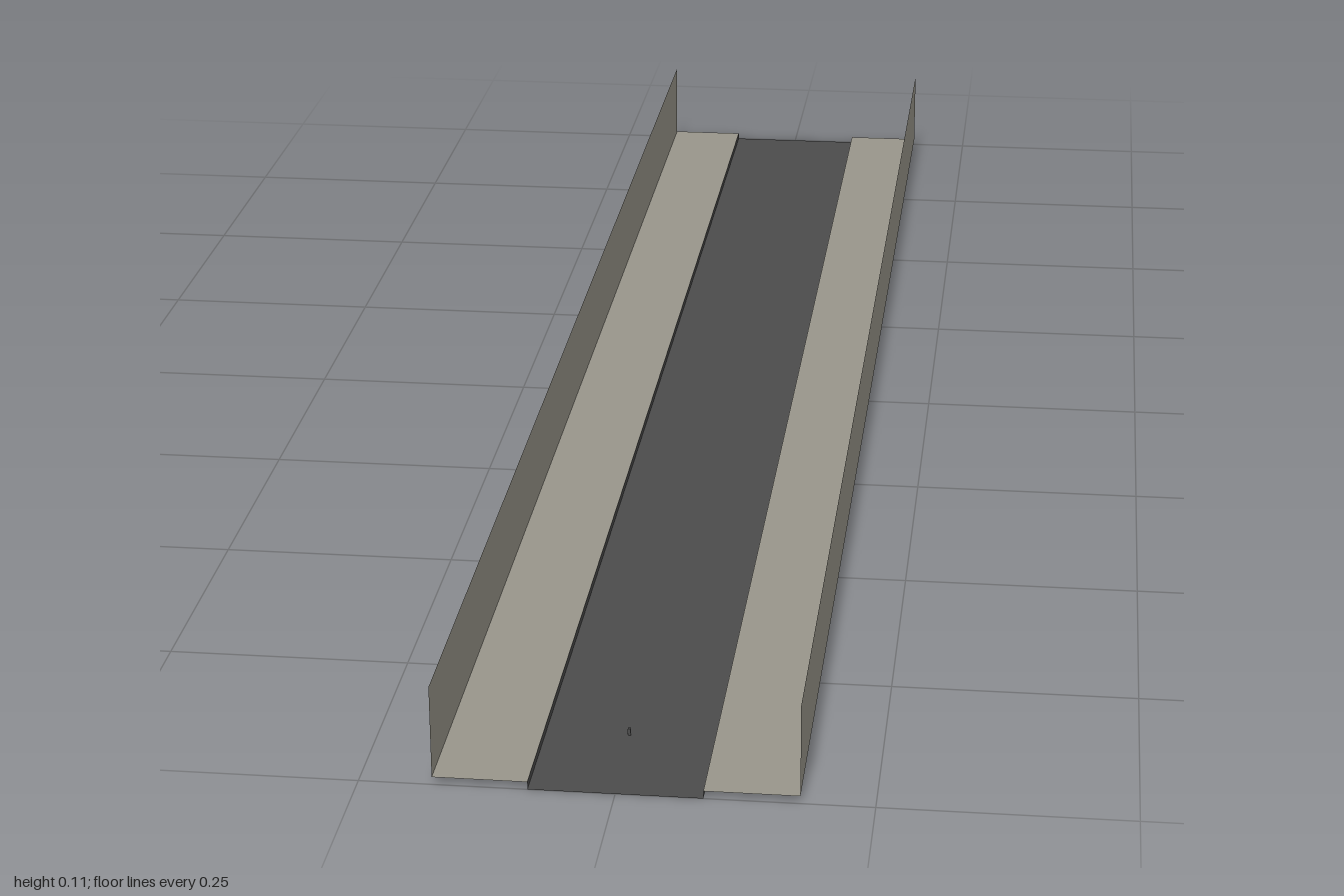
import * as THREE from 'three';

const LENGTH = 2, HALF_WIDTH = 0.178, ROAD_HALF = 0.085;
const KERB = 0.008, TOP = 0.105;

export function createModel() {
  const group = new THREE.Group();
  const concrete = new THREE.MeshStandardMaterial({ color: 0x98958a, side: THREE.DoubleSide });
  const asphalt = new THREE.MeshStandardMaterial({ color: 0x4c4c4c, side: THREE.DoubleSide });
  concrete.name = 'concrete';
  asphalt.name = 'asphalt';

  const add = (name, geometry, material, x, y, z = 0) => {
    const mesh = new THREE.Mesh(geometry, material);
    mesh.name = name;
    mesh.position.set(x, y, z);
    group.add(mesh);
  };
  // Sheets running the full length, lying flat or standing to face outward
  const flat = (width) => new THREE.PlaneGeometry(width, LENGTH).rotateX(-Math.PI / 2);
  const upright = (height, facing) =>
    new THREE.PlaneGeometry(LENGTH, height).rotateY(facing * Math.PI / 2);

  // Sunken roadway
  add('road', flat(ROAD_HALF * 2), asphalt, 0, 0);

  // Kerb, pavement and wall on each side
  for (const [side, s] of [['left', 1], ['right', -1]]) {
    add(side + 'Kerb', upright(KERB, -s), asphalt, s * ROAD_HALF, KERB / 2);
    add(side + 'Pavement', flat(HALF_WIDTH - ROAD_HALF), concrete,
      s * (HALF_WIDTH + ROAD_HALF) / 2, KERB);
    add(side + 'Wall', upright(TOP - KERB, s), concrete, s * HALF_WIDTH, (TOP + KERB) / 2);
  }

  // Tiny stud in the road near the front end
  add('roadStud', new THREE.BoxGeometry(0.003, 0.007, 0.003), asphalt, -0.002, 0.0035, 0.88);
  return group;
}
